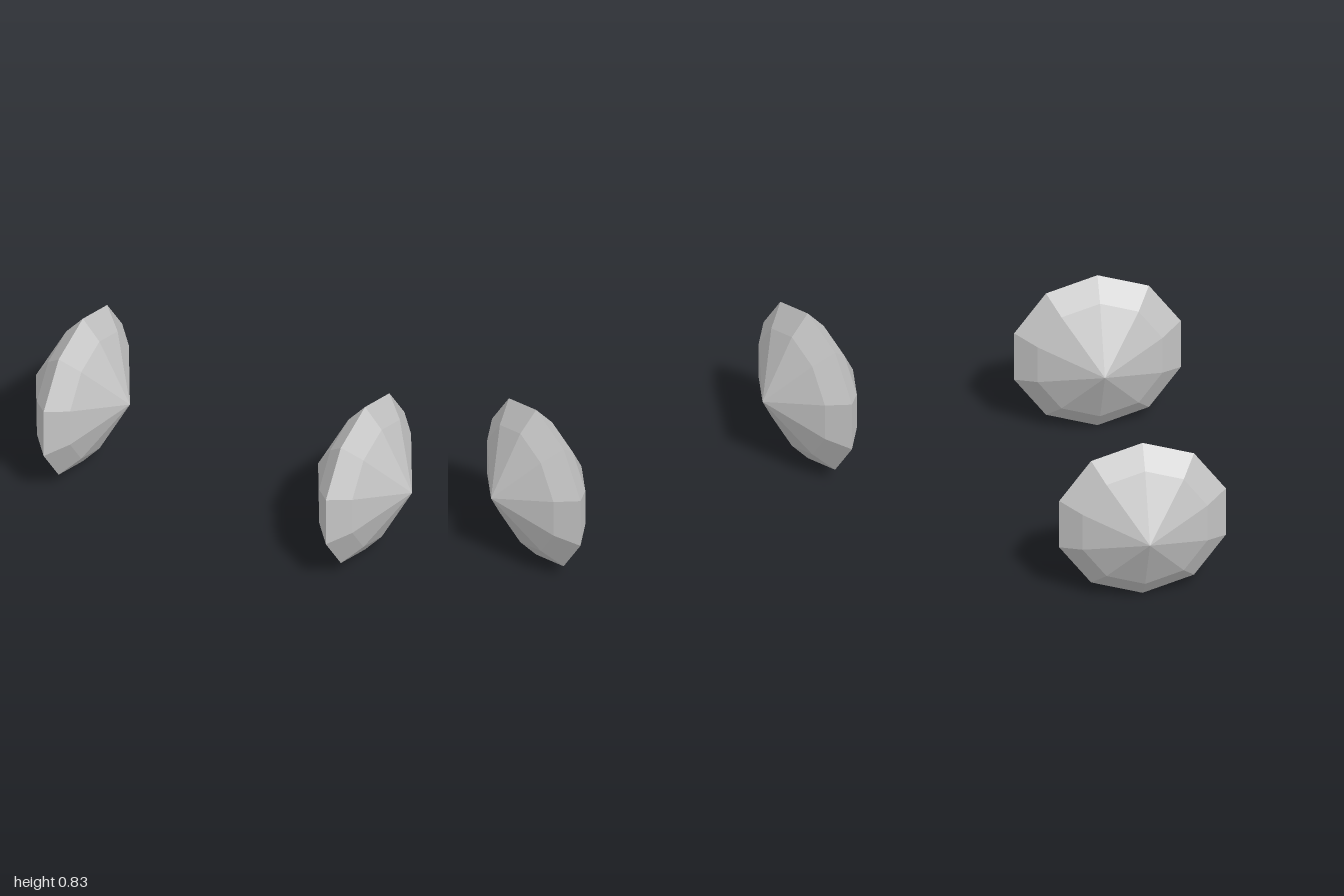
import * as THREE from 'three';

export function createModel() {
  const model = new THREE.Group();
  const grey = new THREE.MeshStandardMaterial({ color: 0xc4c4c4, flatShading: true });
  grey.name = 'light grey';

  // Faceted disc: pointed tips, an inner ring on each side and a sharp rim
  const radius = 0.416, ringRadius = 0.312, ringOffset = 0.088, tip = 0.25;
  const profile = [[0, -tip], [ringRadius, -ringOffset], [radius, 0], [ringRadius, ringOffset], [0, tip]]
    .map(([r, h]) => new THREE.Vector2(r, h));
  const gem = new THREE.LatheGeometry(profile, 10, Math.PI / 2);
  gem.rotateZ(-Math.PI / 2); // axis along x, one corner straight up

  // Matching pair, left and right
  for (const [name, side] of [['leftDisc', 1], ['rightDisc', -1]]) {
    const disc = new THREE.Mesh(gem, grey);
    disc.name = name;
    disc.position.set(side * 0.75, 0.417, 0);
    model.add(disc);
  }
  return model;
}
